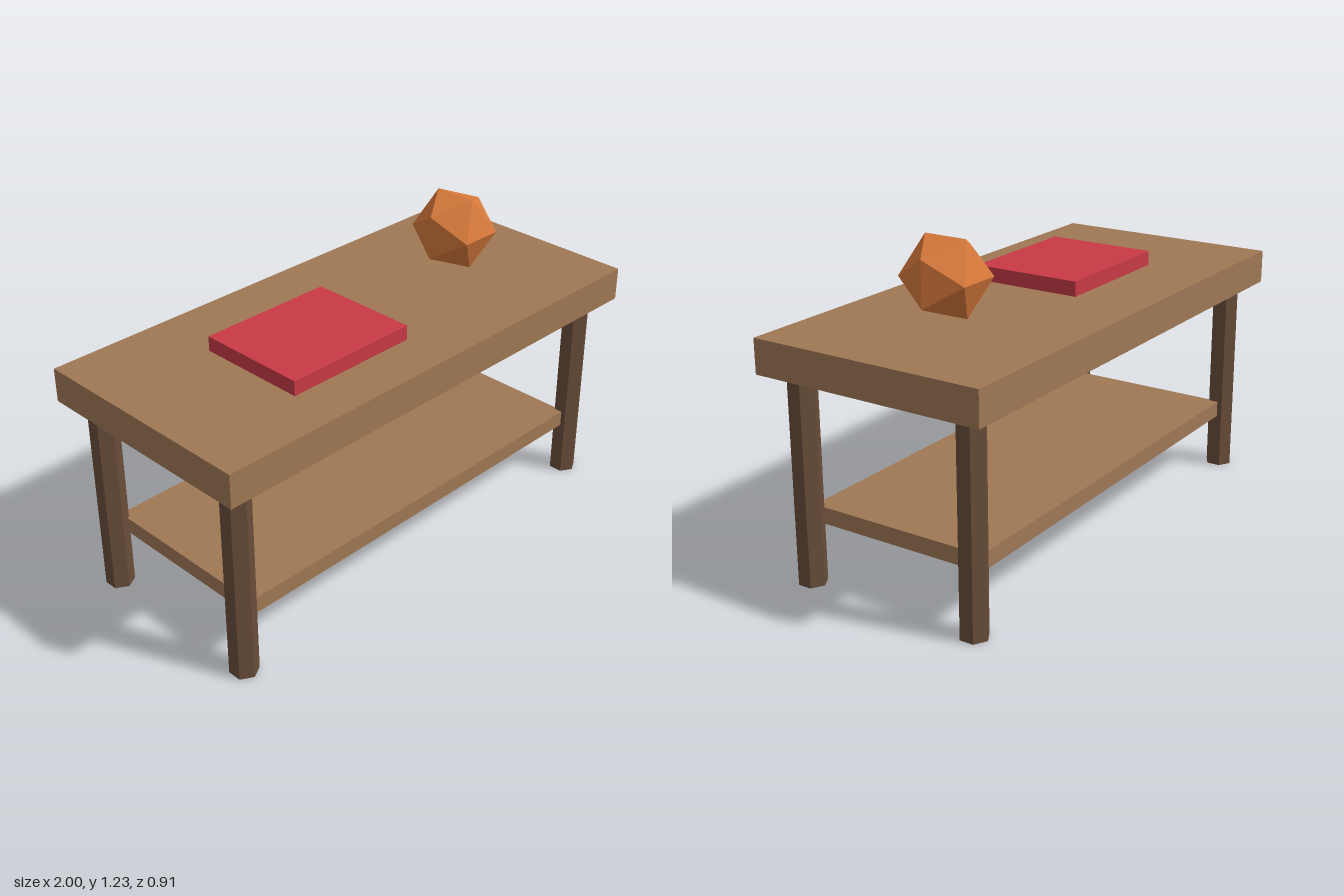
import * as THREE from 'three';

function material(name, color) {
  const m = new THREE.MeshStandardMaterial({ color });
  m.name = name;
  return m;
}

export function createModel() {
  const table = new THREE.Group();
  table.name = 'table';

  const wood = material('lightWood', 0xa07855);
  const darkWood = material('darkWood', 0x6a4e3a);
  const red = material('red', 0xc83a46);
  const orange = material('orange', 0xd87a3c);
  // Faceted parts
  darkWood.flatShading = true;
  orange.flatShading = true;

  function add(name, geometry, mat, x, y, z) {
    const mesh = new THREE.Mesh(geometry, mat);
    mesh.name = name;
    mesh.position.set(x, y, z);
    table.add(mesh);
    return mesh;
  }

  // Top and lower shelf
  add('tableTop', new THREE.BoxGeometry(2, 0.129, 0.914), wood, 0, 0.85, 0);
  add('shelf', new THREE.BoxGeometry(1.714, 0.063, 0.714), wood, 0, 0.251, 0);

  // Four six-sided legs
  const legHeight = 0.786;
  const legGeometry = new THREE.CylinderGeometry(0.0536, 0.0536, legHeight, 6);
  for (const [sx, side] of [[1, 'Left'], [-1, 'Right']]) {
    for (const [sz, end] of [[1, 'front'], [-1, 'back']]) {
      add(end + side + 'Leg', legGeometry, darkWood, sx * 0.893, legHeight / 2, sz * 0.35);
    }
  }

  // Objects on the table
  add('book', new THREE.BoxGeometry(0.545, 0.057, 0.437), red, -0.272, 0.943, 0.043);
  const ball = add('facetedBall', new THREE.IcosahedronGeometry(0.162, 0), orange, 0.543, 1.09, 0);
  ball.rotation.z = Math.PI / 2;

  return table;
}
